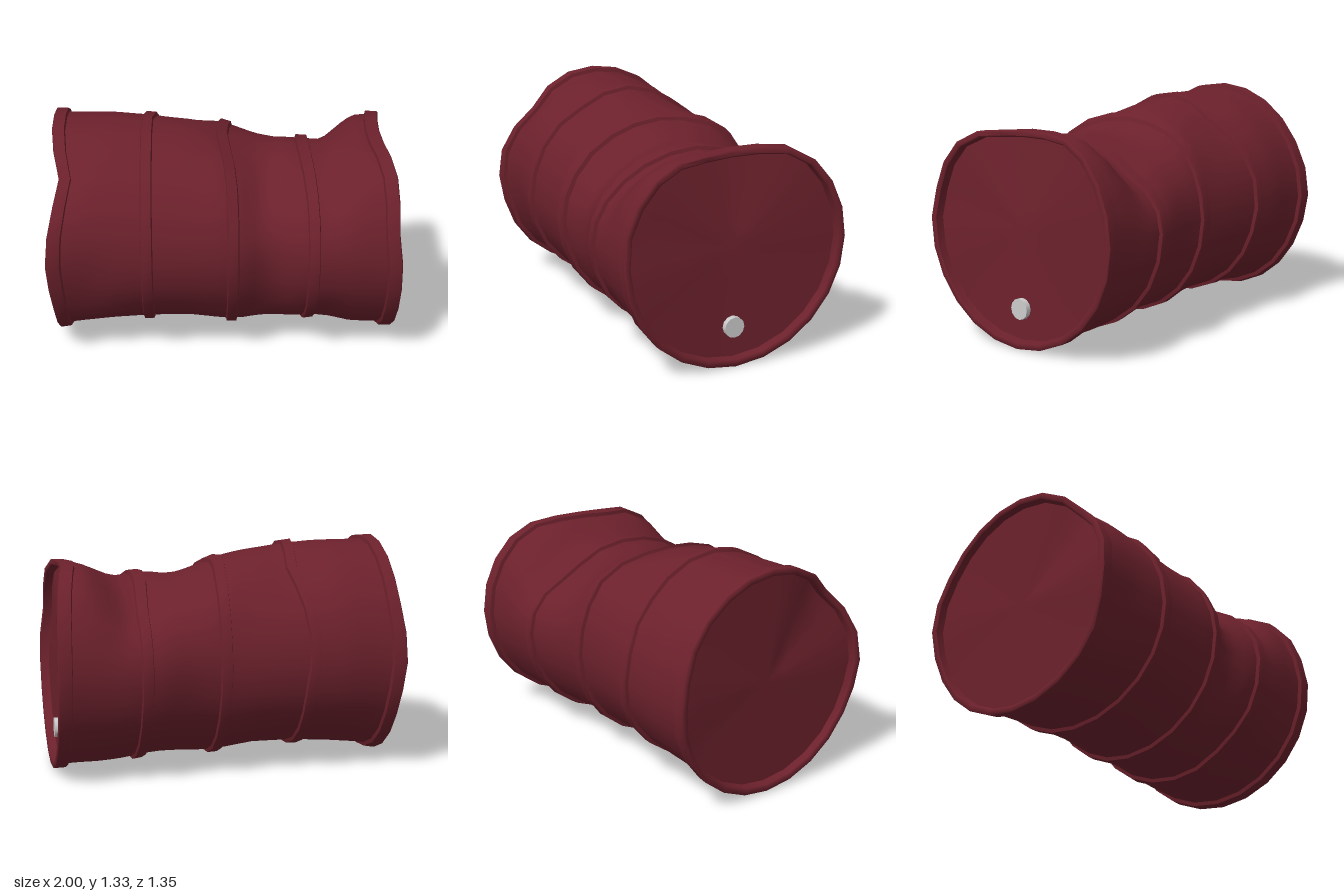
import * as THREE from 'three';
import { toCreasedNormals } from 'three/addons/utils/BufferGeometryUtils.js';

const SIDES = 24;
const CY = 0.66; // height of the drum's axis
const RADIUS = 0.645; // undented radius

// Battered outline along the axis: x, top y, bottom y, front z, back z
const OUTLINE = [
  [-1.0, 1.305, 0.025, 0.635, -0.61],
  [-0.86, 1.3, 0.05, 0.635, -0.605],
  [-0.65, 1.3, 0.075, 0.635, -0.62],
  [-0.44, 1.29, 0.09, 0.635, -0.615],
  [-0.2, 1.25, 0.09, 0.635, -0.6],
  [0.0, 1.21, 0.06, 0.635, -0.585],
  [0.1, 1.17, 0.055, 0.625, -0.585],
  [0.2, 1.135, 0.06, 0.58, -0.59],
  [0.3, 1.125, 0.065, 0.575, -0.61],
  [0.4, 1.13, 0.065, 0.62, -0.635],
  [0.5, 1.125, 0.05, 0.64, -0.64],
  [0.6, 1.11, 0.035, 0.64, -0.645],
  [0.72, 1.15, 0.025, 0.645, -0.645],
  [0.85, 1.195, 0.025, 0.645, -0.65],
  [1.0, 1.19, 0.02, 0.65, -0.66],
];

// Local dents: x, angle from top (towards +z), spread in x, spread in angle, shift in x, shift in radius
const DENTS = [
  // right end
  [0.95, 0.05, 0.2, 0.75, -0.085, 0],
  [0.9, -0.6, 0.15, 0.25, 0, 0.015],
  [0.88, 0.3, 0.15, 0.22, 0, -0.02],
  [0.97, 1.25, 0.1, 0.25, -0.025, 0],
  // middle
  [0.45, 0, 0.12, 0.6, -0.04, 0],
  [0.5, -0.7, 0.17, 0.35, 0, -0.06],
  [0.58, 2.5, 0.12, 0.27, 0, -0.045],
  [0.22, 0.75, 0.1, 0.4, 0, -0.035],
  [0.25, 1.75, 0.15, 0.3, 0, -0.015],
  [0.03, 0, 0.12, 0.5, -0.055, 0],
  [0.05, -0.75, 0.15, 0.35, 0, 0.035],
  [0.0, 0.75, 0.12, 0.35, 0, 0.02],
  // left half
  [-0.44, -0.5, 0.12, 0.32, 0.045, 0],
  [-0.44, -1.4, 0.12, 0.3, -0.03, 0],
  [-0.42, -0.6, 0.18, 0.32, 0, -0.04],
  [-0.42, 0.5, 0.15, 0.22, 0, -0.02],
  [-0.95, 0.8, 0.12, 0.27, 0.055, -0.035],
  [-0.97, 1.6, 0.1, 0.35, -0.03, 0],
  [-0.97, -1.5, 0.1, 0.35, -0.03, 0],
  [-0.78, 1.77, 0.17, 0.24, 0, -0.035],
];

function outlineAt(x) {
  let i = 0;
  while (i < OUTLINE.length - 2 && x > OUTLINE[i + 1][0]) i++;
  const p = OUTLINE[i], q = OUTLINE[i + 1];
  const t = THREE.MathUtils.clamp((x - p[0]) / (q[0] - p[0]), 0, 1);
  return p.map((v, k) => v + (q[k] - v) * t);
}

// Point on the dented skin; outset lifts it, scale draws it towards the axis
function skinPoint(x, a, outset, scale) {
  const [, top, bottom, front, back] = outlineAt(x);
  const c = Math.cos(a), s = Math.sin(a);
  let dx = 0, dr = outset;
  for (const [x0, a0, sx, sa, mx, mr] of DENTS) {
    const da = Math.atan2(Math.sin(a - a0), Math.cos(a - a0));
    const g = Math.exp(-(((x - x0) / sx) ** 2) - (da / sa) ** 2);
    dx += mx * g;
    dr += mr * g;
  }
  // the right end keeps round shoulders and has its crown pressed flat; elsewhere the top sags evenly
  const flat = THREE.MathUtils.smoothstep(x, 0.58, 0.85) * (RADIUS - (top - CY));
  const fromTop = Math.atan2(s, c);
  const crush = flat * Math.exp(-((fromTop / 0.6) ** 2));
  const y = c * ((c > 0 ? top - CY + flat : CY - bottom) + dr) - crush;
  const z = s * ((s > 0 ? front : -back) + dr);
  return [x + dx, CY + y * scale, z * scale];
}

// Skins a profile of [x, outset, scale] rings around the axis
function sweep(name, profile, material) {
  const pos = [], index = [];
  for (const [x, outset, scale = 1] of profile) {
    const ring = [];
    for (let j = 0; j < SIDES; j++) ring.push(skinPoint(x, (j / SIDES) * Math.PI * 2, outset, scale));
    // rings inside a lid flatten towards the mean end plane
    const mean = ring.reduce((sum, p) => sum + p[0], 0) / SIDES;
    for (const p of ring) pos.push(mean + (p[0] - mean) * scale, p[1], p[2]);
  }
  for (let i = 0; i < profile.length - 1; i++) {
    for (let j = 0; j < SIDES; j++) {
      const k = (j + 1) % SIDES;
      const a = i * SIDES + j, b = i * SIDES + k, c = a + SIDES, d = b + SIDES;
      index.push(a, b, c, b, d, c);
    }
  }
  const geo = new THREE.BufferGeometry();
  geo.setAttribute('position', new THREE.Float32BufferAttribute(pos, 3));
  geo.setIndex(index);
  const mesh = new THREE.Mesh(toCreasedNormals(geo, 0.7), material);
  mesh.name = name;
  return mesh;
}

export function createModel() {
  const group = new THREE.Group();
  group.name = 'dentedDrum';
  const red = new THREE.MeshStandardMaterial({ color: 0x6c212c, side: THREE.DoubleSide });
  const grey = new THREE.MeshStandardMaterial({ color: 0xcccccc });

  // Sheet-metal wall
  const wall = [];
  for (let i = 0; i <= 36; i++) wall.push([-0.93 + (1.88 * i) / 36, 0]);
  group.add(sweep('wall', wall, red));

  // Three raised hoops
  for (const x of [-0.44, 0.045, 0.5]) {
    group.add(sweep('hoop', [[x - 0.035, -0.005], [x - 0.028, 0.02], [x + 0.028, 0.02], [x + 0.035, -0.005]], red));
  }

  // Rolled rim and recessed lid at each end
  const rightRim = [[0.915, -0.005], [0.922, 0.022], [0.992, 0.022], [0.997, 0.015], [0.997, -0.008], [0.992, -0.015], [0.945, -0.02]];
  const leftRim = [[-0.93, -0.02], [-0.97, -0.015], [-0.975, -0.008], [-0.975, 0.015], [-0.97, 0.022], [-0.907, 0.022], [-0.9, -0.005]];
  group.add(sweep('rim', rightRim, red), sweep('rim', leftRim, red));
  const fade = [1, 0.75, 0.5, 0.25, 0];
  group.add(sweep('lid', fade.map((s) => [0.945, -0.02, s]), red));
  group.add(sweep('lid', fade.map((s) => [-0.93, -0.02, 1 - s]), red));

  // Filler plug low on one lid
  const plug = new THREE.Mesh(new THREE.CylinderGeometry(0.06, 0.06, 0.05, 12), grey);
  plug.name = 'plug';
  plug.rotation.z = -Math.PI / 2;
  plug.position.set(0.945, 0.22, 0);
  group.add(plug);

  // Rest on the ground, centred
  const box = new THREE.Box3().setFromObject(group);
  const mid = box.getCenter(new THREE.Vector3());
  for (const part of group.children) part.position.sub(new THREE.Vector3(mid.x, box.min.y, mid.z));
  return group;
}
